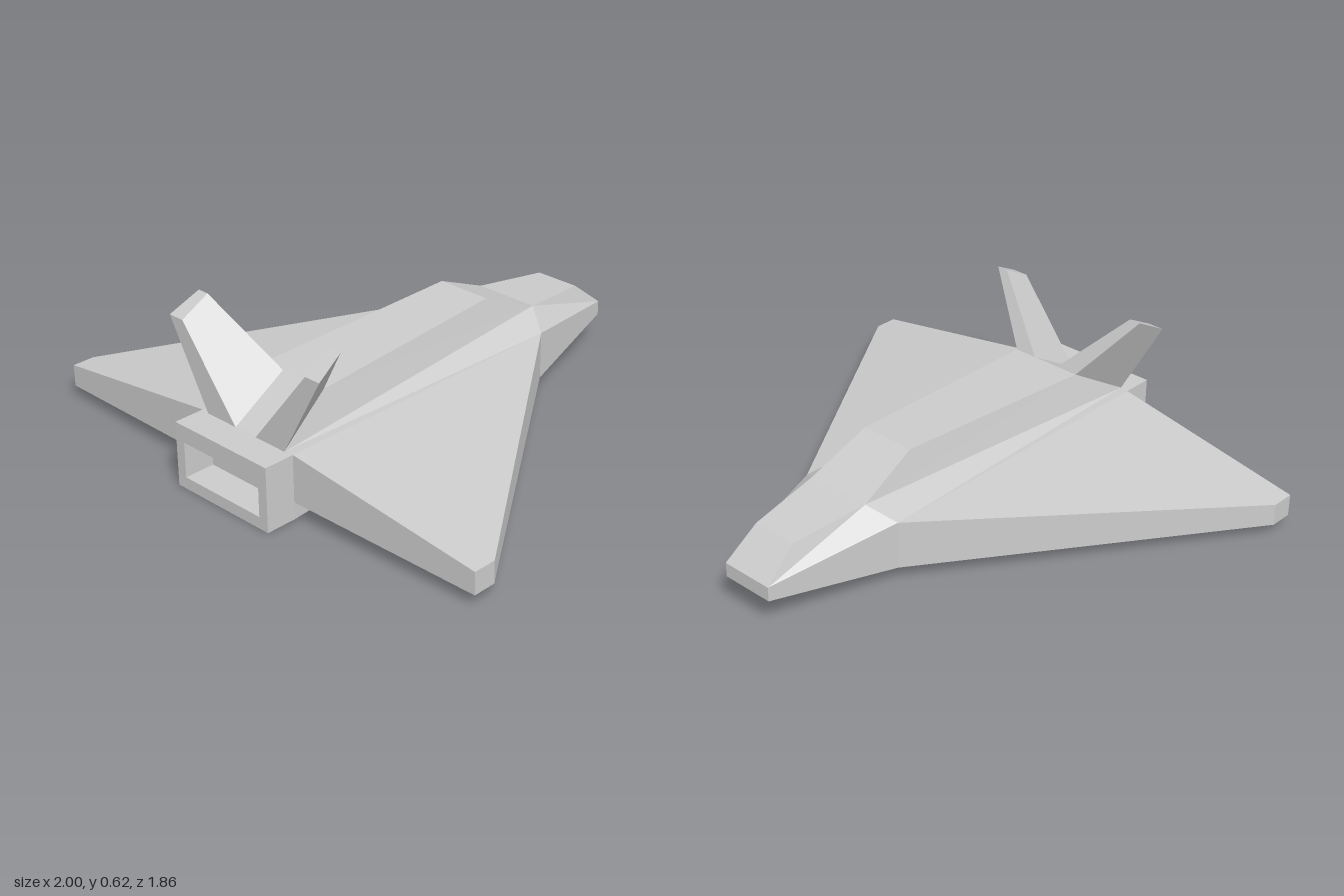
import * as THREE from 'three';
import { ConvexGeometry } from 'three/addons/geometries/ConvexGeometry.js';

const material = new THREE.MeshStandardMaterial({ color: 0xcccccc, flatShading: true });

function addMesh(group, name, geometry) {
  const mesh = new THREE.Mesh(geometry, material);
  mesh.name = name;
  group.add(mesh);
}

// Skin closed loops of points, running nose to tail, with flat end caps
function loft(loops) {
  const pos = [];
  const tri = (a, b, c) => {
    const area = new THREE.Vector3().subVectors(b, a).cross(new THREE.Vector3().subVectors(c, a)).length();
    if (area > 1e-7) pos.push(...a.toArray(), ...b.toArray(), ...c.toArray());
  };
  const n = loops[0].length;
  for (let s = 0; s < loops.length - 1; s++) {
    for (let i = 0; i < n; i++) {
      const j = (i + 1) % n;
      const [a, b, c, d] = [loops[s][i], loops[s][j], loops[s + 1][j], loops[s + 1][i]];
      // mirror the diagonal so both halves match
      if (i < n / 2) { tri(a, d, b); tri(b, d, c); } else { tri(a, d, c); tri(a, c, b); }
    }
  }
  const first = loops[0], last = loops[loops.length - 1];
  for (let i = 1; i < n - 1; i++) {
    tri(first[0], first[i], first[i + 1]);
    tri(last[0], last[i + 1], last[i]);
  }
  const geometry = new THREE.BufferGeometry();
  geometry.setAttribute('position', new THREE.Float32BufferAttribute(pos, 3));
  geometry.computeVertexNormals();
  return geometry;
}

// Complete a half section (top to belly on +x) into a closed loop
function mirrorLoop(half) {
  const right = half.map(p => new THREE.Vector3(...p));
  const left = half.map(([x, y, z]) => new THREE.Vector3(-x, y, z)).reverse();
  return [...right, ...left];
}

// Convex solid from its corners, placed on one side
const solid = (corners, side) =>
  new ConvexGeometry(corners.map(([x, y, z]) => new THREE.Vector3(side * x, y, z)));

export function createModel() {
  const model = new THREE.Group();
  model.name = 'deltaWingAircraft';

  // Fuselage: each station lists spine top, crest, deck edge, lower edge, belly
  const tip = [0.105, 0.17, -0.93], chin = [0.105, 0.115, -0.93];
  const crest = [0.13, 0.305, -0.5], crestEnd = [0.19, 0.245, 0.81];
  const shoulder = [[0.225, 0.245, -0.44], [0.225, 0.06, -0.44], [0.12, 0, -0.44]];
  const tail = [[0.225, 0.245, 0.81], [0.225, 0.06, 0.81], [0.225, 0, 0.81]];
  const stations = [
    [tip, tip, tip, chin, chin],
    [[0.09, 0.275, -0.8], tip, tip, chin, chin],
    [crest, crest, ...shoulder],
    [[0.11, 0.41, -0.26], crest, ...shoulder],
    [[0.145, 0.375, 0.59], crestEnd, ...tail],
    [crestEnd, crestEnd, ...tail],
  ];
  addMesh(model, 'fuselage', loft(stations.map(mirrorLoop)));

  // Engine nozzle: rectangular frame open at the rear
  const frame = new THREE.Shape([
    [-0.225, 0], [0.225, 0], [0.225, 0.245], [-0.225, 0.245],
  ].map(p => new THREE.Vector2(...p)));
  frame.holes.push(new THREE.Path([
    [-0.185, 0.045], [-0.185, 0.18], [0.185, 0.18], [0.185, 0.045],
  ].map(p => new THREE.Vector2(...p))));
  const nozzle = new THREE.ExtrudeGeometry(frame, { depth: 0.12, bevelEnabled: false });
  nozzle.translate(0, 0, 0.81);
  addMesh(model, 'engineNozzle', nozzle);

  for (const [label, side] of [['left', 1], ['right', -1]]) {
    // Tapered delta wing
    addMesh(model, label + 'Wing', solid([
      [0.225, 0.245, -0.44], [0.225, 0.06, -0.44], [0.225, 0.245, 0.81], [0.225, 0.065, 0.81],
      [1, 0.13, 0.69], [1, 0.045, 0.69], [1, 0.13, 0.78], [1, 0.045, 0.78],
    ], side));

    // Canted tail fin
    addMesh(model, label + 'TailFin', solid([
      [0.055, 0.375, 0.59], [0.145, 0.375, 0.59], [0.05, 0.245, 0.815], [0.19, 0.245, 0.815],
      [0.3, 0.62, 0.7], [0.345, 0.62, 0.7], [0.3, 0.56, 0.815], [0.365, 0.56, 0.815],
    ], side));
  }
  return model;
}
